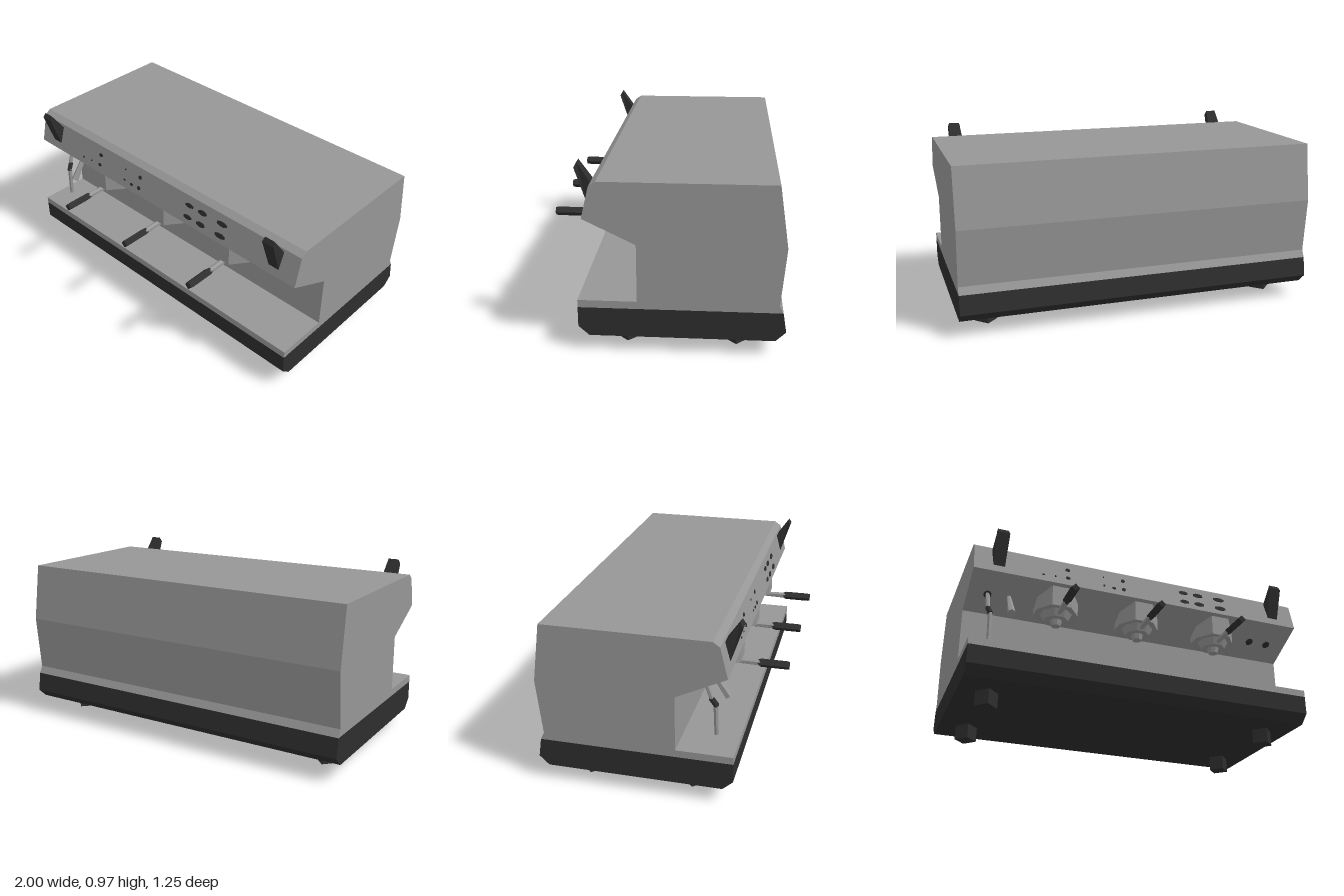
import * as THREE from 'three';

export function createModel() {
  const model = new THREE.Group();
  model.name = 'espressoMachine';
  const mat = (name, color) => {
    const m = new THREE.MeshStandardMaterial({ color, flatShading: true });
    m.name = name;
    return m;
  };
  const steel = mat('steelGrey', 0x969696);
  const black = mat('blackPlastic', 0x2e2e2e);

  const add = (name, geometry, material, parent = model) => {
    const mesh = new THREE.Mesh(geometry, material);
    mesh.name = name;
    parent.add(mesh);
    return mesh;
  };
  // Side profile of [z, y] points, extruded across x and centred
  const sideExtrude = (pts, width) => {
    const shape = new THREE.Shape(pts.map(p => new THREE.Vector2(p[0], p[1])));
    const g = new THREE.ExtrudeGeometry(shape, { depth: width, bevelEnabled: false });
    return g.translate(0, 0, -width / 2).rotateY(-Math.PI / 2);
  };
  // Tapered rod between two points
  const rod = (a, b, ra, rb, sides) => {
    const from = new THREE.Vector3(...a), to = new THREE.Vector3(...b);
    const dir = to.clone().sub(from);
    const g = new THREE.CylinderGeometry(rb, ra, dir.length(), sides);
    g.applyQuaternion(new THREE.Quaternion().setFromUnitVectors(
      new THREE.Vector3(0, 1, 0), dir.clone().normalize()));
    const mid = from.add(to).multiplyScalar(0.5);
    return g.translate(mid.x, mid.y, mid.z);
  };

  // Housing with drip tray, work bay and overhanging hood
  add('housing', sideExtrude([
    [0.425, 0.24], [0.425, 0.28], [0.125, 0.28], [0.125, 0.585], [0.39, 0.715],
    [0.35, 0.88], [0.315, 0.905], [-0.565, 0.905], [-0.612, 0.585],
    [-0.585, 0.28], [-0.605, 0.24]
  ], 2), steel);

  // Dark base
  add('base', sideExtrude([
    [0.425, 0.24], [0.425, 0.135], [0.37, 0.085], [-0.57, 0.085],
    [-0.622, 0.135], [-0.605, 0.24]
  ], 2), black);

  // Feet
  for (const x of [-0.84, 0.83]) for (const z of [0.188, -0.377]) {
    add('foot', new THREE.CylinderGeometry(0.0625, 0.0625, 0.09, 4), black).position.set(x, 0.045, z);
  }

  // Steam levers, widest in the middle
  const leverHalfWidth = y => y > 0.95 ? 0.03 : y > 0.9 ? 0.037 : y > 0.8 ? 0.041 : 0.032;
  for (const x of [-0.861, 0.855]) {
    const g = sideExtrude([
      [0.378, 0.755], [0.438, 0.94], [0.424, 0.966], [0.352, 0.86], [0.36, 0.76]
    ], 2);
    const p = g.attributes.position;
    for (let i = 0; i < p.count; i++) p.setX(i, p.getX(i) * leverHalfWidth(p.getY(i)));
    g.computeVertexNormals();
    add('steamLever', g, black).position.x = x;
  }

  // Brew groups with portafilters
  const headOutline = [[-0.055, 0.37], [0.055, 0.37], [0.12, 0.285], [0.12, 0.2],
    [0.06, 0.14], [-0.06, 0.14], [-0.12, 0.2], [-0.12, 0.285]];
  for (const x of [-0.495, 0, 0.495]) {
    const group = new THREE.Group();
    group.name = 'brewGroup';
    group.position.x = x;
    model.add(group);

    // Head, its top cut to follow the slope under the hood
    const shape = new THREE.Shape(headOutline.map(([px, pz]) => new THREE.Vector2(px, -pz)));
    const head = new THREE.ExtrudeGeometry(shape, { depth: 1, bevelEnabled: false }).rotateX(-Math.PI / 2);
    const p = head.attributes.position;
    for (let i = 0; i < p.count; i++) {
      const top = 0.587 + (p.getZ(i) - 0.125) * 0.49;
      p.setY(i, p.getY(i) > 0.5 ? top : 0.585);
    }
    head.computeVertexNormals();
    add('brewHead', head, steel, group);

    add('filterCollar', new THREE.CylinderGeometry(0.092, 0.07, 0.042, 8)
      .rotateY(Math.PI / 8).translate(0, 0.566, 0.257), steel, group);
    add('spout', new THREE.CylinderGeometry(0.037, 0.027, 0.035, 8)
      .translate(0, 0.53, 0.257), steel, group);
    add('handleShaft', rod([0, 0.567, 0.31], [0, 0.567, 0.47], 0.014, 0.018, 6), steel, group);
    add('handleNeck', rod([0, 0.567, 0.455], [0, 0.567, 0.472], 0.018, 0.025, 4), black, group);
    add('handleGrip', rod([0, 0.567, 0.472], [0, 0.567, 0.61], 0.025, 0.025, 4), black, group);
    add('handleEnd', rod([0, 0.567, 0.61], [0, 0.567, 0.624], 0.025, 0.022, 4), black, group);
  }

  // Hot water pipe and steam wand
  add('waterPipeUpper', rod([-0.89, 0.65, 0.25], [-0.888, 0.54, 0.288], 0.012, 0.012, 6), steel);
  add('waterPipeJoint', rod([-0.888, 0.542, 0.284], [-0.877, 0.495, 0.312], 0.015, 0.015, 6), black);
  add('waterPipeLower', rod([-0.877, 0.51, 0.306], [-0.875, 0.328, 0.312], 0.013, 0.012, 6), steel);
  add('steamWand', rod([-0.77, 0.65, 0.25], [-0.77, 0.497, 0.353], 0.012, 0.022, 6), steel);

  // Thin oval plates lying on a sloped face
  const plate = (name, x, y, z, w, h, tilt) => {
    const m = add(name, new THREE.CylinderGeometry(0.5, 0.5, 0.006, 8)
      .rotateY(Math.PI / 8).rotateX(Math.PI / 2).scale(w, h, 1), black);
    m.position.set(x, y, z);
    m.rotation.x = tilt;
  };
  const buttons = [
    [-0.466, 0.825, 0.03, 0.022], [-0.466, 0.765, 0.028, 0.02],
    [-0.25, 0.825, 0.008, 0.01], [-0.13, 0.825, 0.024, 0.024],
    [-0.13, 0.76, 0.024, 0.024], [-0.19, 0.757, 0.024, 0.016],
    [-0.25, 0.762, 0.012, 0.012], [-0.61, 0.758, 0.016, 0.01], [-0.54, 0.762, 0.01, 0.01]
  ];
  for (const y of [0.826, 0.758]) {
    buttons.push([0.257, y, 0.06, 0.026], [0.353, y, 0.064, 0.03], [0.493, y, 0.074, 0.03]);
  }
  const hoodTilt = -Math.atan2(0.04, 0.165);
  for (const [x, y, w, h] of buttons) {
    plate('button', x, y, 0.39 - (y - 0.715) * 0.2424 + 0.001, w, h, hoodTilt);
  }
  // Sockets on the underside of the hood
  const underTilt = Math.atan2(0.265, 0.13);
  for (const x of [-0.89, 0.757, 0.875]) plate('hoodSocket', x, 0.644, 0.248, 0.045, 0.05, underTilt);

  return model;
}
